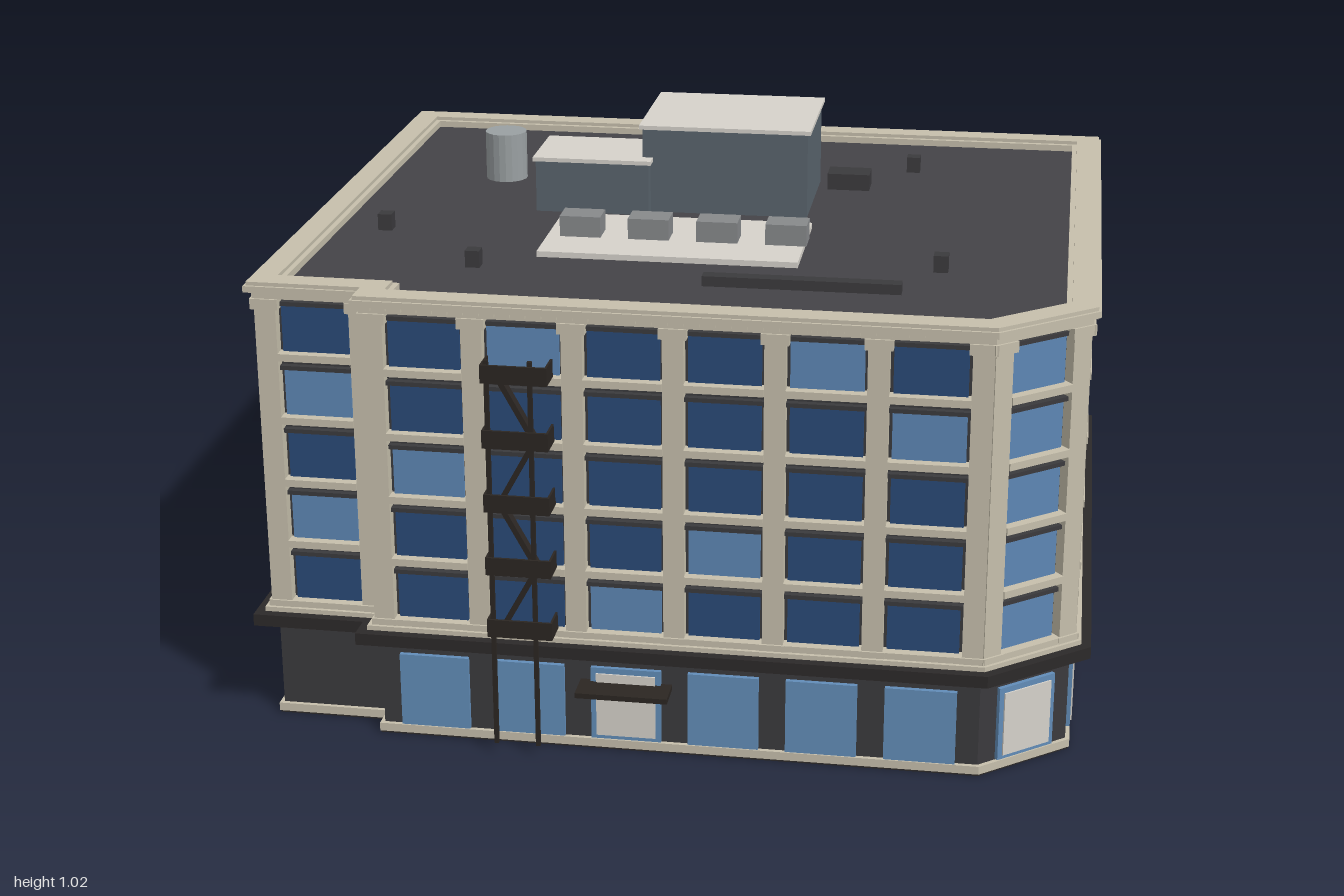
import * as THREE from 'three';

const mat = (color) => new THREE.MeshStandardMaterial({ color, flatShading: true });
const M = {
  stone: mat(0xc6bfac), brick: mat(0x9b9585), pier: mat(0xaaa69c), dark: mat(0x3b3a3d),
  ledge: mat(0x2c2929), roof: mat(0x444347), glass: mat(0x2a4a78), lit: mat(0x5d87b5),
  shop: mat(0x628db8), panel: mat(0xd6d2cb), grey: mat(0x8e8e90), iron: mat(0x2b2622),
  door: mat(0x3a342c), metal: mat(0x59646d), unit: mat(0x87898b), tank: mat(0x9aa0a2),
};

// Plan corners [x, z] at wall face, running west, south, notch, east chamfer, north
const PLAN = [[-0.922, 0.08], [-0.07, 0.95], [0.081, 0.802], [0.115, 0.838],
  [0.912, 0.055], [0.933, -0.152], [0.127, -0.955]];

function offsetPlan(o) {
  const n = PLAN.length;
  const lines = PLAN.map((a, i) => {
    const b = PLAN[(i + 1) % n], l = Math.hypot(b[0] - a[0], b[1] - a[1]);
    const d = [(b[0] - a[0]) / l, (b[1] - a[1]) / l];
    return { p: [a[0] - d[1] * o, a[1] + d[0] * o], d };
  });
  return lines.map((B, i) => {
    const A = lines[(i + n - 1) % n];
    const cross = A.d[0] * B.d[1] - A.d[1] * B.d[0];
    const t = ((B.p[0] - A.p[0]) * B.d[1] - (B.p[1] - A.p[1]) * B.d[0]) / cross;
    return new THREE.Vector2(A.p[0] + A.d[0] * t, -(A.p[1] + A.d[1] * t));
  });
}

function mesh(parent, name, geo, material) {
  const m = new THREE.Mesh(geo, material);
  m.name = name;
  parent.add(m);
  return m;
}

// Solid storey, or a ring when an inner offset is given
function prism(parent, name, material, outer, y0, y1, inner) {
  const shape = new THREE.Shape(offsetPlan(outer));
  if (inner !== undefined) shape.holes.push(new THREE.Path(offsetPlan(inner)));
  const geo = new THREE.ExtrudeGeometry(shape, { depth: y1 - y0, bevelEnabled: false });
  geo.rotateX(-Math.PI / 2).translate(0, y0, 0);
  return mesh(parent, name, geo, material);
}

// Box centred on x and z, spanning y0 to y1
function box(parent, name, material, x, y0, y1, z, w, d) {
  const m = mesh(parent, name, new THREE.BoxGeometry(w, y1 - y0, d), material);
  m.position.set(x, (y0 + y1) / 2, z);
  return m;
}

// Opening with a shallow arched head
function arched(parent, name, material, x, y0, y1, z, w, rise) {
  const s = new THREE.Shape();
  s.moveTo(-w / 2, y0);
  s.lineTo(w / 2, y0);
  s.lineTo(w / 2, y1 - rise);
  s.quadraticCurveTo(w / 2 - 0.01, y1, 0, y1);
  s.quadraticCurveTo(-w / 2 + 0.01, y1, -w / 2, y1 - rise);
  const geo = new THREE.ExtrudeGeometry(s, { depth: 0.008, bevelEnabled: false, curveSegments: 6 });
  mesh(parent, name, geo, material).position.set(x, 0, z);
}

// Local frame of one side: x along the wall, z outward
function side(parent, i, name) {
  const a = PLAN[i], b = PLAN[(i + 1) % PLAN.length];
  const g = new THREE.Group();
  g.name = name;
  g.position.set(a[0], 0, a[1]);
  g.rotation.y = Math.atan2(-(b[1] - a[1]), b[0] - a[0]);
  g.userData.length = Math.hypot(b[0] - a[0], b[1] - a[1]);
  parent.add(g);
  return g;
}

const ROW = 0.1225, SILL = 0.238;

// Upper floors; lit holds "column,row" with row 0 at the top
function windowedFacade(g, cols, lit) {
  const L = g.userData.length, pw = 0.038, pitch = (L - pw) / cols;
  for (let c = 0; c <= cols; c++) {
    const x = pw / 2 + c * pitch;
    box(g, 'pilaster', M.stone, x, 0.22, 0.84, -0.01, pw, 0.024);
    box(g, 'pilasterCapital', M.stone, x, 0.812, 0.832, -0.005, pw + 0.012, 0.026);
    box(g, 'pilasterBase', M.stone, x, 0.22, 0.238, -0.006, pw + 0.008, 0.024);
    if (c === cols) break;
    const xc = x + pitch / 2, w = pitch - pw;
    for (let r = 0; r < 5; r++) {
      const y = SILL + (4 - r) * ROW, on = lit.includes(`${c},${r}`);
      box(g, 'window', on ? M.lit : M.glass, xc, y, y + 0.093, -0.018, w - 0.012, 0.01);
      box(g, 'windowSill', M.stone, xc, y - 0.014, y, -0.008, w, 0.026);
      box(g, 'windowRail', M.dark, xc, y + 0.088, y + 0.096, -0.013, w, 0.012);
    }
  }
  return (c) => pw / 2 + (c + 0.5) * pitch;
}

function framedPanel(g, material, x, w) {
  box(g, 'shopFrame', M.shop, x, 0.022, 0.166, -0.007, w, 0.014);
  box(g, 'shopPanel', material, x, 0.03, 0.155, -0.004, w - 0.02, 0.014);
}

function fireEscape(g, x) {
  const e = new THREE.Group();
  e.name = 'fireEscape';
  e.position.x = x;
  g.add(e);
  for (const px of [-0.05, 0.028]) box(e, 'escapePost', M.iron, px, 0.02, 0.77, 0.04, 0.008, 0.008);
  for (let r = 0; r < 5; r++) {
    const y = 0.238 + r * ROW;
    box(e, 'landing', M.iron, 0, y, y + 0.006, 0.02, 0.12, 0.055);
    box(e, 'landingRail', M.iron, 0, y, y + 0.034, 0.046, 0.12, 0.005);
    for (const s of [-1, 1]) box(e, 'landingEnd', M.iron, s * 0.058, y, y + 0.034, 0.022, 0.004, 0.05);
    if (r < 4) {
      const stair = box(e, 'stair', M.iron, 0, y, y + 0.15, 0.03, 0.01, 0.02);
      stair.rotation.z = (r % 2 ? 1 : -1) * 0.5;
    }
  }
}

function roofPlant(root) {
  const turned = (name, m, x, y0, y1, z, w, d) => {
    const b = box(root, name, m, x, y0, y1, z, w, d);
    b.rotation.y = Math.PI / 4;
    return b;
  };
  const R = 0.845;
  // Penthouses with flat caps
  turned('penthouse', M.metal, -0.037, R, 1.012, -0.107, 0.325, 0.262);
  turned('penthouseCap', M.panel, -0.037, 1.012, 1.02, -0.107, 0.337, 0.274);
  turned('stairHouse', M.metal, -0.164, R, 0.947, 0.132, 0.224, 0.158);
  turned('stairHouseCap', M.panel, -0.164, 0.947, 0.955, 0.132, 0.234, 0.168);
  // Equipment pad with a row of cooling units
  turned('equipmentPad', M.panel, 0.148, R, 0.856, 0.17, 0.49, 0.255);
  for (let i = 0; i < 4; i++) {
    const k = i * 0.0925;
    turned('coolingUnit', M.unit, 0.02 + k, 0.856, 0.896, 0.298 - k, 0.078, 0.055);
  }
  turned('roofDuct', M.dark, -0.322, R, 0.864, -0.222, 0.45, 0.026);
  turned('roofDuct', M.dark, 0.508, R, 0.864, 0.155, 0.36, 0.026);
  turned('roofHatch', M.dark, 0.05, R, 0.878, -0.338, 0.085, 0.055);
  for (const [x, z] of [[0.04, -0.52], [0.58, -0.115], [-0.26, 0.565], [0.04, 0.555]])
    turned('roofVent', M.dark, x, R, 0.877, z, 0.027, 0.027);
  const tank = mesh(root, 'waterTank', new THREE.CylinderGeometry(0.042, 0.042, 0.098, 20), M.tank);
  tank.position.set(-0.43, 0.894, 0.18);
}

export function createModel() {
  const root = new THREE.Group();
  root.name = 'cornerBuilding';

  // Stacked storeys and bands
  prism(root, 'plinth', M.stone, 0, 0.004, 0.02);
  prism(root, 'underside', M.ledge, -0.002, 0, 0.004);
  prism(root, 'groundFloor', M.dark, -0.008, 0.02, 0.2);
  prism(root, 'upperCore', M.dark, -0.02, 0.2, 0.84);
  prism(root, 'roofDeck', M.roof, -0.03, 0.84, 0.845);
  prism(root, 'ledge', M.ledge, 0.03, 0.194, 0.217);
  prism(root, 'ledgeTrim', M.stone, 0.012, 0.217, 0.226);
  prism(root, 'frieze', M.stone, 0.004, 0.832, 0.846, -0.045);
  prism(root, 'cornice', M.stone, 0.016, 0.846, 0.858, -0.045);
  prism(root, 'coping', M.stone, 0.011, 0.858, 0.865, -0.035);

  // South-west facade with a central door
  const west = side(root, 0, 'westFacade');
  const wx = windowedFacade(west, 6, []);
  for (const c of [0, 1, 4, 5]) box(west, 'shopWindow', M.shop, wx(c), 0.022, 0.155, -0.006, 0.13, 0.014);
  box(west, 'door', M.door, west.userData.length / 2, 0.004, 0.157, -0.002, 0.125, 0.014);

  // Single bay and notch return
  windowedFacade(side(root, 1, 'notchBay'), 1, ['0,1', '0,3']);
  const ret = side(root, 2, 'notchReturn');
  box(ret, 'notchPier', M.stone, ret.userData.length / 2, 0.22, 0.84, -0.01, ret.userData.length, 0.02);

  // South-east facade with fire escape and awning
  const east = side(root, 3, 'eastFacade');
  const ex = windowedFacade(east, 6, ['0,2', '1,0', '2,4', '3,3', '4,0', '5,1']);
  for (let c = 0; c < 6; c++) {
    if (c === 2) framedPanel(east, M.panel, ex(c), 0.13);
    else box(east, 'shopWindow', M.shop, ex(c), 0.022, 0.166, -0.006, 0.13, 0.014);
  }
  box(east, 'awning', M.iron, ex(2), 0.128, 0.138, 0.022, 0.17, 0.06);
  fireEscape(east, ex(1) - 0.005);

  // Chamfered corner
  const corner = side(root, 4, 'cornerBay');
  const cx = windowedFacade(corner, 1, ['0,0', '0,1', '0,2', '0,3', '0,4']);
  framedPanel(corner, M.panel, cx(0), 0.125);

  // North-east facade with arched shop windows
  const north = side(root, 5, 'northFacade');
  const nx = windowedFacade(north, 6, ['0,3', '1,1', '2,2', '3,0', '4,4', '5,2']);
  framedPanel(north, M.panel, nx(0), 0.13);
  for (let c = 1; c < 5; c++) arched(north, 'archedWindow', M.shop, nx(c), 0.022, 0.166, -0.007, 0.125, 0.03);
  box(north, 'shutter', M.grey, nx(5), 0.022, 0.15, -0.006, 0.125, 0.014);

  // Plain rear wall with piers, floor bands and small windows
  const rear = side(root, 6, 'rearWall');
  const L = rear.userData.length;
  box(rear, 'rearPanel', M.brick, L / 2, 0.004, 0.84, -0.01, L, 0.022);
  for (const t of [0.055, 0.247, 0.437, 0.627, 0.813])
    box(rear, 'rearPier', M.pier, t * L, 0.004, 0.835, 0.002, 0.042, 0.014);
  for (let r = 0; r < 5; r++) box(rear, 'floorBand', M.brick, L / 2, 0.338 + r * ROW - 0.006, 0.338 + r * ROW + 0.004, 0.002, L, 0.01);
  for (const t of [0.17, 0.352, 0.533, 0.722, 0.877])
    for (const y of [0.632, 0.755]) arched(rear, 'rearWindow', M.dark, t * L, y, y + 0.05, -0.004, 0.048, 0.008);

  // Cornice dentils on every side
  for (const g of [west, east, north, rear]) {
    const n = 40, len = g.userData.length;
    for (let i = 0; i < n; i++) box(g, 'dentil', M.stone, (i + 0.5) * len / n, 0.838, 0.846, 0.006, 0.012, 0.01);
  }

  roofPlant(root);
  return root;
}
